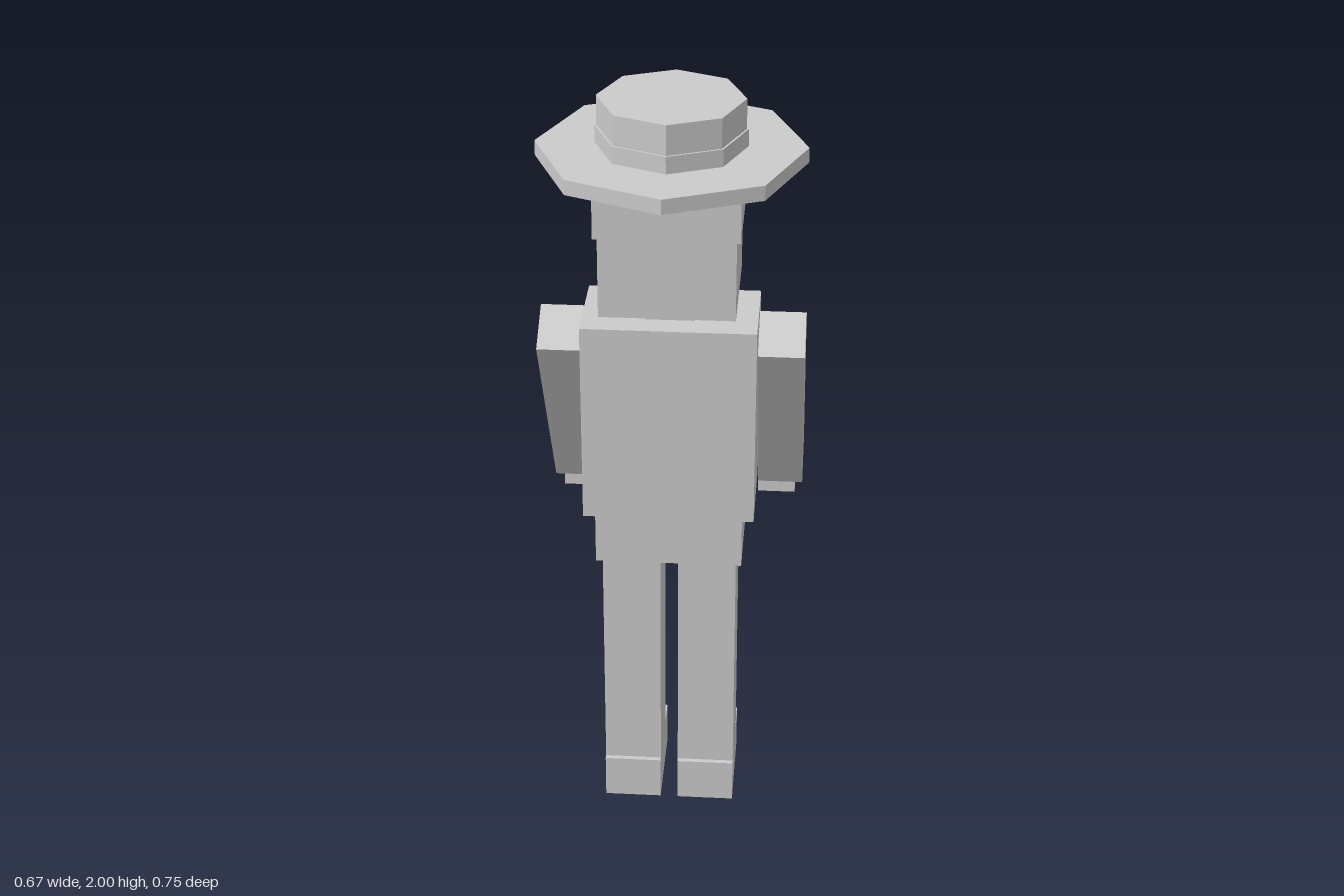
import * as THREE from 'three';

export function createModel() {
  const model = new THREE.Group();
  model.name = 'blockFigure';
  const material = new THREE.MeshStandardMaterial({ color: 0xcccccc, flatShading: true });

  const add = (name, geometry, x, y, z) => {
    const mesh = new THREE.Mesh(geometry, material);
    mesh.name = name;
    mesh.position.set(x, y, z);
    model.add(mesh);
    return mesh;
  };

  // Box given by its limits on each axis
  const block = (name, [x0, x1], [y0, y1], [z0, z1]) =>
    add(name, new THREE.BoxGeometry(x1 - x0, y1 - y0, z1 - z0),
      (x0 + x1) / 2, (y0 + y1) / 2, (z0 + z1) / 2);

  // Eight-sided disc of the hat
  const hatZ = 0.044;
  const octagon = (name, radius, y0, y1) =>
    add(name, new THREE.CylinderGeometry(radius, radius, y1 - y0, 8), 0, (y0 + y1) / 2, hatZ);

  // Body and head; the face looks toward -z
  block('hips', [-0.188, 0.188], [0.765, 0.905], [-0.064, 0.158]);
  block('torso', [-0.218, 0.218], [0.905, 1.44], [-0.075, 0.169]);
  block('neck', [-0.061, 0.061], [1.44, 1.492], [-0.012, 0.105]);
  block('head', [-0.167, 0.167], [1.492, 1.832], [-0.11, 0.204]);
  block('hair', [-0.177, 0.177], [1.703, 1.822], [-0.081, 0.217]);

  // Hat
  octagon('hatBrim', 0.33, 1.842, 1.88);
  octagon('hatBand', 0.185, 1.88, 1.924);
  octagon('hatCrown', 0.18, 1.88, 2);

  // Paired parts, mirrored across x
  for (const [side, s] of [['left', 1], ['right', -1]]) {
    const span = (a, b) => (s > 0 ? [a, b] : [-b, -a]);
    block(side + 'Eye', span(0.05, 0.094), [1.652, 1.71], [-0.117, -0.1]);
    block(side + 'Leg', span(0.023, 0.173), [0.12, 0.765], [-0.037, 0.134]);
    block(side + 'Shoe', span(0.023, 0.173), [0, 0.12], [-0.11, 0.147]);
    block(side + 'Hand', span(0.215, 0.315), [0.747, 0.863], [-0.374, -0.255]);

    // Arm swung toward the face side
    const arm = add(side + 'Arm', new THREE.BoxGeometry(0.12, 0.637, 0.135), s * 0.275, 1.102, -0.125);
    arm.rotation.x = 0.535;
  }

  return model;
}
